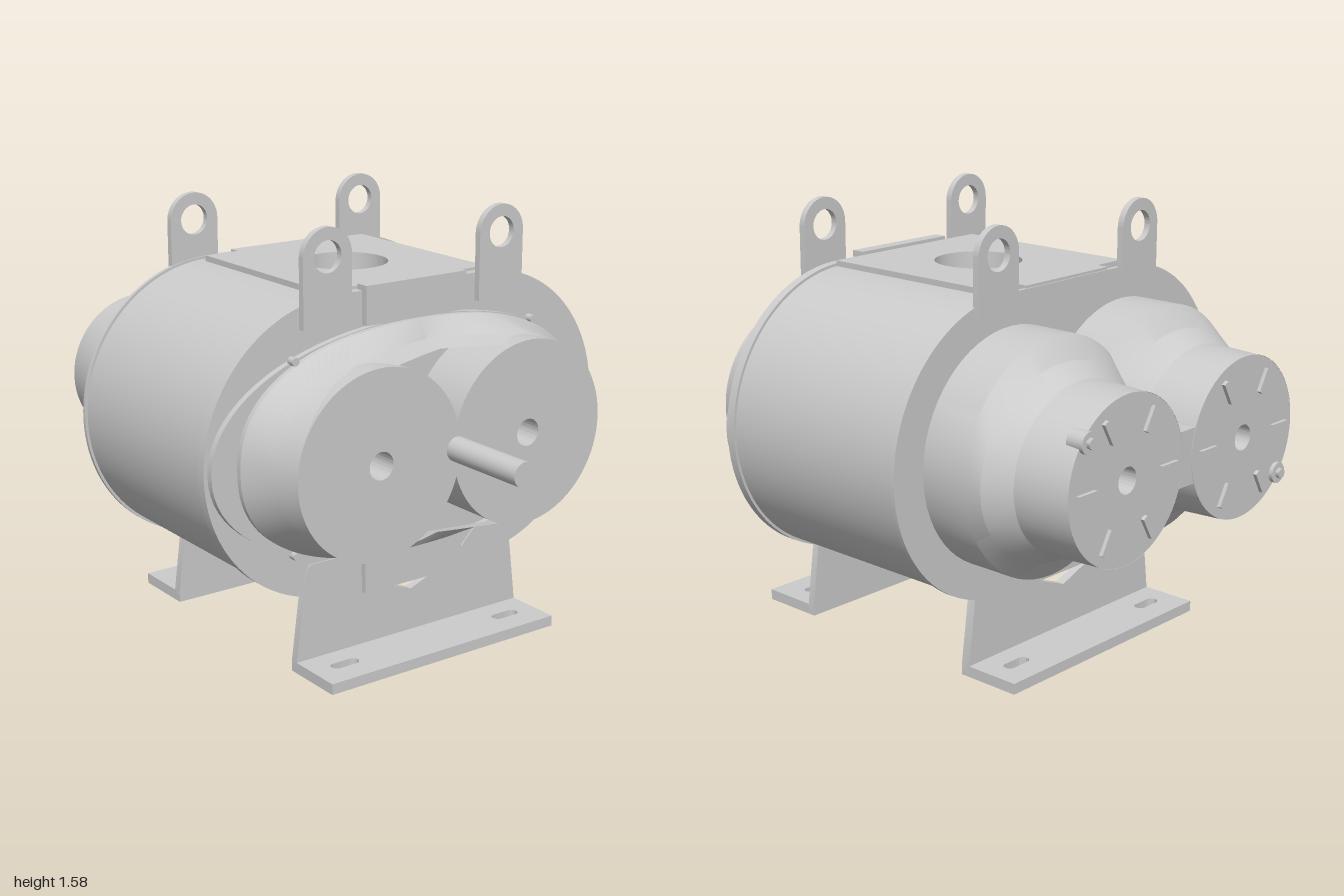
import * as THREE from 'three';
import { toCreasedNormals } from 'three/addons/utils/BufferGeometryUtils.js';

const CY = 0.8;   // height of the shaft line
const LX = 0.325; // sideways offset of the two rotor axes
const PI = Math.PI;
const grey = new THREE.MeshStandardMaterial({ color: 0xcccccc, side: THREE.DoubleSide });

export function createModel() {
  const model = new THREE.Group();

  const add = (name, geo) => {
    const mesh = new THREE.Mesh(geo, grey);
    mesh.name = name;
    model.add(mesh);
    return mesh;
  };
  const box = (name, w, h, d, x, y, z) =>
    add(name, new THREE.BoxGeometry(w, h, d).translate(x, y, z));
  const rod = (name, r, x, y, z0, z1, sides = 32) =>
    add(name, new THREE.CylinderGeometry(r, r, z1 - z0, sides).rotateX(PI / 2).translate(x, y, (z0 + z1) / 2));

  const extrudeGeo = (shape, depth) => toCreasedNormals(
    new THREE.ExtrudeGeometry(shape, { depth, bevelEnabled: false, curveSegments: 40 }), 0.5);
  // upright plate from z0 to z1
  const plate = (name, shape, z0, z1) => add(name, extrudeGeo(shape, z1 - z0).translate(0, 0, z0));
  // lying plate from y0 to y1; the shape is drawn in (x, -z)
  const slab = (name, shape, y0, y1) =>
    add(name, extrudeGeo(shape, y1 - y0).rotateX(-PI / 2).translate(0, y0, 0));

  const polygon = pts => new THREE.Shape(pts.map(p => new THREE.Vector2(...p)));
  const hole = (shape, x, y, r) => shape.holes.push(new THREE.Path().absarc(x, y, r, 0, 2 * PI, true));
  const shaftHoles = shape => { for (const s of [-1, 1]) hole(shape, s * LX, CY, 0.05); return shape; };
  const rect = (x0, x1, y0, y1) => polygon([[x0, y0], [x1, y0], [x1, y1], [x0, y1]]);

  const stadium = r => new THREE.Shape()
    .absarc(LX, CY, r, -PI / 2, PI / 2, false).absarc(-LX, CY, r, PI / 2, 1.5 * PI, false).closePath();

  // open skin through rings of points, listed from back to front
  const loft = (name, rings) => {
    const n = rings[0].length, idx = [];
    for (let j = 0; j < rings.length - 1; j++) for (let i = 0; i < n; i++) {
      const a = j * n + i, b = j * n + (i + 1) % n;
      idx.push(a, b, b + n, a, b + n, a + n);
    }
    const geo = new THREE.BufferGeometry().setFromPoints(rings.flat());
    geo.setIndex(idx);
    return add(name, toCreasedNormals(geo, 0.35));
  };
  const ring = (n, fn) => Array.from({ length: n }, (_, i) => new THREE.Vector3(...fn(i / n * 2 * PI)));
  const oval = (a, b, e) => t => {
    const c = Math.cos(t), s = Math.sin(t);
    return [Math.sign(c) * a * Math.abs(c) ** (2 / e), CY + Math.sign(s) * b * Math.abs(s) ** (2 / e)];
  };

  // Casing: two curved sides joined by flat top and bottom walls
  for (const s of [-1, 1]) {
    const a = s > 0 ? -PI / 2 : PI / 2;
    const side = new THREE.Shape().absarc(s * LX, CY, 0.53, a, a + PI, false)
      .absarc(s * LX, CY, 0.46, a + PI, a, true).closePath();
    plate('casingSide', side, -0.43, 0.37);
  }
  for (const s of [-1, 1]) {
    const span = (name, shape, h0, h1) => slab(name, shape, CY + Math.min(s * h0, s * h1), CY + Math.max(s * h0, s * h1));
    const wall = rect(-LX, LX, -0.37, 0.43), pad = rect(-0.36, 0.36, -0.36, 0.39);
    hole(wall, 0, 0.01, 0.16);
    hole(pad, 0, 0.01, 0.16);
    span('casingWall', wall, 0.46, 0.53);
    span('portPad', pad, 0.5, 0.55);
    box('frontPortStrip', 0.44, 0.14, 0.05, 0, CY + s * 0.49, 0.395);
    box('backPortStrip', 0.44, 0.05, 0.045, 0, CY + s * 0.525, -0.4125);
  }

  // End flanges
  plate('frontFlange', shaftHoles(stadium(0.54)), 0.36, 0.395);
  plate('backFlange', shaftHoles(stadium(0.54)), -0.44, -0.425);

  // Front cover: oval plate, flared skin and twin round faces
  const coverPlate = polygon(ring(80, t => [...oval(0.85, 0.425, 2.1)(t), 0]).map(p => [p.x, p.y]));
  plate('coverPlate', shaftHoles(coverPlate), 0.395, 0.42);
  const rim = (k, z) => ring(112, t => {
    const [bx, by] = oval(0.75, 0.42, 2.35)(t);
    const c = Math.cos(t), s = Math.sin(t);
    const fx = 0.34 * c + LX * THREE.MathUtils.clamp(c * 3, -1, 1), fy = CY + 0.335 * s;
    const dip = 0.1 * Math.max(0, 1 - Math.abs(fx) / 0.32); // saddle between the faces
    return [bx + (fx - bx) * k, by + (fy - by) * k, z - dip * k];
  });
  loft('coverSkin', [rim(0, 0.41), rim(0, 0.44), rim(0.75, 0.55), rim(1, 0.65)]);
  const al = Math.acos(LX / 0.34);
  const twin = new THREE.Shape().absarc(LX, CY, 0.34, al - PI, PI - al, false)
    .absarc(-LX, CY, 0.34, al, 2 * PI - al, false).closePath();
  plate('coverFaces', shaftHoles(twin), 0.42, 0.65);
  for (const x of [-0.525, 0.525]) for (const y of [-0.345, 0.345])
    rod('coverBolt', 0.015, x, CY + y, 0.41, 0.44, 12);
  rod('driveShaft', 0.045, 0, CY, 0.42, 1);

  // Gear housings at the back: z, centre, half width, half height
  const sections = [
    [-0.97, 0.325, 0.3, 0.295], [-0.77, 0.325, 0.33, 0.3], [-0.69, 0.315, 0.41, 0.345],
    [-0.63, 0.3, 0.43, 0.425], [-0.43, 0.3, 0.43, 0.425],
  ];
  for (const s of [-1, 1]) {
    loft('gearHousing', sections.map(([z, cx, rx, ry]) =>
      ring(64, t => [s * cx + rx * Math.cos(t), CY + ry * Math.sin(t), z])));
    const cap = new THREE.Shape().absellipse(s * LX, CY, 0.299, 0.294, 0, 2 * PI, false);
    hole(cap, s * LX, CY, 0.047);
    plate('housingCap', cap, -0.97, -0.88);
    // raised radial ribs
    for (let i = 0; i < 6; i++) {
      const rib = new THREE.BoxGeometry(0.09, 0.022, 0.02).translate(0.215, 0, 0).rotateZ(i * PI / 3);
      add('capRib', rib.translate(s * LX, CY, -0.974));
    }
    // plug near the outer edge
    const py = CY + s * 0.178;
    rod('plugBoss', 0.038, s * 0.54, py, -0.985, -0.92, 24);
    rod('plug', 0.02, s * 0.54, py, -1, -0.97, 6);
  }
  box('housingBridge', 0.16, 0.2, 0.14, 0, CY, -0.899);

  // Lifting lugs
  for (const x of [-0.38, 0.38]) for (const z of [0.395, -0.455]) {
    const lug = new THREE.Shape().moveTo(x - 0.1, 1.24).lineTo(x + 0.1, 1.24)
      .absarc(x, 1.48, 0.1, 0, PI, false).closePath();
    hole(lug, x, 1.48, 0.056);
    plate('liftingLug', lug, z, z + 0.025);
  }

  // Feet: notched upright and slotted base flange
  const upright = polygon([[-0.505, 0], [0.505, 0], [0.505, 0.04], [0.462, 0.37], [0.445, 0.395], [0.32, 0.395],
    [0.2, 0.275], [0, 0.2], [-0.2, 0.275], [-0.32, 0.395], [-0.445, 0.395], [-0.462, 0.37], [-0.505, 0.04]]);
  for (const [name, z0, z1, f0, f1] of [['front', 0.37, 0.4, 0.39, 0.615], ['back', -0.435, -0.4, -0.645, -0.425]]) {
    plate(name + 'FootUpright', upright, z0, z1);
    const base = rect(-0.505, 0.505, -f1, -f0), zc = -(f0 + f1) / 2;
    for (const x of [-0.37, 0.37])
      base.holes.push(new THREE.Path().absarc(x + 0.035, zc, 0.022, PI / 2, -PI / 2, true)
        .absarc(x - 0.035, zc, 0.022, -PI / 2, -1.5 * PI, true).closePath());
    slab(name + 'FootBase', base, 0, 0.04);
  }

  return model;
}
